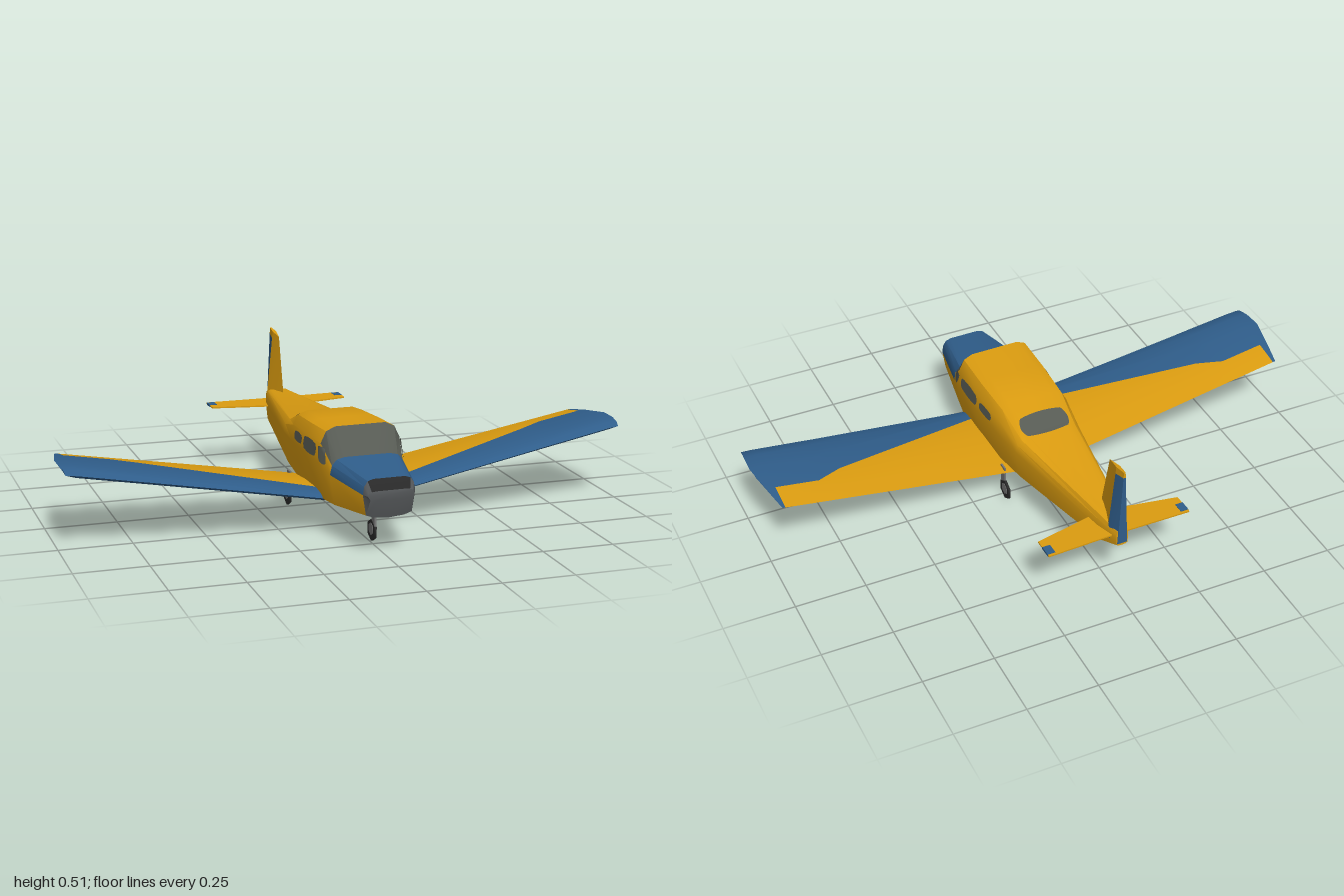
import * as THREE from 'three';
import { toCreasedNormals } from 'three/addons/utils/BufferGeometryUtils.js';

const mat = (name, color, side = THREE.FrontSide) => {
  const m = new THREE.MeshStandardMaterial({ color, side });
  m.name = name;
  return m;
};
const lerp = THREE.MathUtils.lerp;

// Skin a list of closed rings; pick(i, j) chooses the material of each panel
function loft(name, rings, pick, flip = false) {
  const buckets = new Map();
  const tri = (m, a, b, c) => {
    if (!buckets.has(m)) buckets.set(m, []);
    buckets.get(m).push(...a, ...(flip ? c : b), ...(flip ? b : c));
  };
  const n = rings[0].length, last = rings.length - 1;
  for (let i = 0; i < last; i++) for (let j = 0; j < n; j++) {
    const k = (j + 1) % n, m = pick(i, j);
    tri(m, rings[i][j], rings[i][k], rings[i + 1][k]);
    tri(m, rings[i][j], rings[i + 1][k], rings[i + 1][j]);
  }
  for (const e of [0, last]) {
    const r = rings[e], c = [0, 1, 2].map(q => r.reduce((s, p) => s + p[q], 0) / n);
    for (let j = 0; j < n; j++) {
      const a = r[j], b = r[(j + 1) % n], m = pick(e === 0 ? 0 : last - 1, -1);
      if (e === 0) tri(m, c, b, a); else tri(m, c, a, b);
    }
  }
  const geo = new THREE.BufferGeometry(), pos = [], mats = [];
  for (const [m, list] of buckets) {
    geo.addGroup(pos.length / 3, list.length / 3, mats.length);
    mats.push(m);
    for (const v of list) pos.push(v);
  }
  geo.setAttribute('position', new THREE.Float32BufferAttribute(pos, 3));
  const mesh = new THREE.Mesh(toCreasedNormals(geo, 0.55), mats);
  mesh.name = name;
  return mesh;
}

// Fuselage stations, tail to nose: z, bottom, widest height, top, half width
const stations = [
  [-0.635, 0.205, 0.235, 0.27, 0.022], [-0.55, 0.168, 0.24, 0.29, 0.048],
  [-0.09, 0.113, 0.245, 0.298, 0.125], [0.04, 0.104, 0.25, 0.352, 0.14],
  [0.2, 0.099, 0.25, 0.362, 0.147], [0.35, 0.098, 0.25, 0.37, 0.147],
  [0.42, 0.1, 0.225, 0.282, 0.131], [0.622, 0.125, 0.208, 0.259, 0.09],
  [0.64, 0.19, 0.207, 0.222, 0.08],
];
const halfRing = ([, b, m, t, w]) => [
  [0, b], [0.6 * w, b + 0.06 * (m - b)], [0.88 * w, b + 0.17 * (m - b)], [w, m],
  [0.95 * w, lerp(m, t, 0.55)], [0.82 * w, lerp(m, t, 0.88)], [0.6 * w, t], [0, t],
];
const halfRingAt = z => {
  let i = 0;
  while (i < stations.length - 2 && stations[i + 1][0] < z) i++;
  const a = stations[i], b = stations[i + 1], f = (z - a[0]) / (b[0] - a[0]);
  return halfRing(a.map((v, q) => lerp(v, b[q], f)));
};
// Skin position at a given z: side x for a height, or top y for an x
const sideX = (z, y) => {
  const h = halfRingAt(z);
  for (let i = 3; i < 6; i++) if (y <= h[i + 1][1])
    return lerp(h[i][0], h[i + 1][0], (y - h[i][1]) / (h[i + 1][1] - h[i][1]));
  return h[6][0];
};
const topY = (z, x) => {
  const h = halfRingAt(z), a = Math.abs(x);
  for (let i = 6; i > 3; i--) if (a <= h[i][0])
    return lerp(h[i + 1][1], h[i][1], (a - h[i + 1][0]) / (h[i][0] - h[i + 1][0]));
  return h[3][1];
};

export function createModel() {
  const gold = mat('gold paint', 0xdb9c10), blue = mat('blue paint', 0x2f5d8a);
  const glass = mat('window grey', 0x575b54, THREE.DoubleSide);
  const grey = mat('metal grey', 0x777777), cowl = mat('cowl grey', 0x55585a);
  const black = mat('rubber black', 0x2b2b2b);
  const plane = new THREE.Group();
  plane.name = 'airplane';
  const add = (name, geo, m, x = 0, y = 0, z = 0, parent = plane) => {
    const mesh = new THREE.Mesh(geo, m);
    mesh.name = name;
    mesh.position.set(x, y, z);
    parent.add(mesh);
    return mesh;
  };

  // Fuselage with blue upper cowling, windshield and grey nose
  const rings = stations.map(s => {
    const h = halfRing(s);
    const other = h.slice(1, 7).reverse().map(([x, y]) => [-x, y]);
    return [...h, ...other].map(([x, y]) => [x, y, s[0]]);
  });
  plane.add(loft('fuselage', rings, (i, j) => {
    const s = Math.min(j, 13 - j);
    if (i === 7) return s >= 5 ? black : cowl;
    if (i === 6 && s >= 3) return blue;
    if (i === 5 && s >= 4) return glass;
    return gold;
  }));

  // Side windows, rounded patches lying on the skin: z0, z1, y0, y1, slant
  const windows = [[0.345, 0.388, 0.252, 0.308, -0.012], [0.19, 0.322, 0.26, 0.31, 0], [0.08, 0.17, 0.266, 0.3, 0]];
  const patch = place => {
    const g = new THREE.PlaneGeometry(2, 2, 8, 8), p = g.attributes.position;
    for (let i = 0; i < p.count; i++) {
      const u = p.getX(i), v = p.getY(i);
      p.setXYZ(i, ...place(u * (1 - 0.14 * v * v), v * (1 - 0.2 * u * u)));
    }
    g.computeVertexNormals();
    return g;
  };
  for (const s of [1, -1]) for (const [z0, z1, y0, y1, slant] of windows) {
    add('sideWindow', patch((u, v) => {
      const z = lerp(z0, z1, (1 - s * u) / 2) + slant * v, y = lerp(y0, y1, (v + 1) / 2);
      return [s * (sideX(z, y) + 0.004), y, z];
    }), glass);
  }
  add('rearWindow', patch((u, v) => {
    const x = u * 0.09, z = -0.056 - v * 0.042;
    return [x, topY(z, x) + 0.004, z];
  }), glass).geometry.computeVertexNormals();

  // Wings: x, leading edge z, z of the paint line
  const spans = [[0.08, 0.347, 0.288], [0.14, 0.345, 0.272], [0.7, 0.314, 0.108],
    [0.79, 0.31, 0.066], [0.945, 0.302, 0.064], [1, 0.3, 0.064]];
  const trail = -0.03;
  const wing = s => {
    const sections = spans.map(([x, lead, line], i) => {
      const tip = i === spans.length - 1;
      const zs = [0, 0.08, 0.25, 0.55, 1].map(f => lerp(lead, line, f))
        .concat([0.33, 0.66, 1].map(f => lerp(line, trail, f)));
      const point = (z, top) => {
        const t = (lead - z) / (lead - trail);
        const px = !tip ? x : z < 0.19 ? lerp(0.955, 1, (z - trail) / (0.19 - trail)) : lerp(1, 0.985, (z - 0.19) / 0.11);
        const rise = 0.002 + 0.009 * (1 - t) + 0.065 * Math.sqrt(Math.max(t, 0)) * (1 - t);
        const h = top ? rise * (tip ? 0.8 : 1) : tip ? rise * 0.6 : 0;
        return [s * px, 0.115 + (px - 0.14) * 0.172 + h, z];
      };
      const under = [0.97, 0.5, 0.06].map(f => lerp(lead, trail, f));
      return [...zs.map(z => point(z, true)), ...under.map(z => point(z, false))];
    });
    return loft(s > 0 ? 'leftWing' : 'rightWing', sections,
      (i, j) => (i === 4 || (j >= 0 && j < 4) || j === 10 ? blue : gold), s > 0);
  };
  for (const s of [1, -1]) plane.add(wing(s));

  // Tail fin, tapering upward, with a blue rudder
  const half = y => lerp(0.035, 0.006, (y - 0.22) / 0.29);
  const hinge = -0.592, end = -0.637;
  const finRing = (y, lead, yh) => [[0, y, lead], [half(yh), yh, hinge], [-half(yh), yh, hinge]];
  plane.add(loft('tailFin', [finRing(0.22, -0.47, 0.22), finRing(0.493, -0.535, 0.503)], () => gold));
  const rudderRing = (yh, ye) => [[half(yh), yh, hinge], [half(ye) * 0.5, ye, end],
    [-half(ye) * 0.5, ye, end], [-half(yh), yh, hinge]];
  plane.add(loft('rudder', [rudderRing(0.225, 0.215), rudderRing(0.478, 0.488)], () => blue));
  plane.add(loft('finCap', [rudderRing(0.478, 0.488), rudderRing(0.503, 0.51)], () => gold));

  // Thin tailplane with coloured tips
  const outline = [[0, -0.49], [0.26, -0.54], [0.26, -0.62], [0, -0.615], [-0.26, -0.62], [-0.26, -0.54]];
  const tailShape = new THREE.Shape(outline.map(([x, z]) => new THREE.Vector2(x, -z)));
  const tailGeo = new THREE.ExtrudeGeometry(tailShape, { depth: 0.005, bevelEnabled: false });
  tailGeo.rotateX(-Math.PI / 2);
  add('tailplane', tailGeo, gold, 0, 0.238, 0);
  for (const s of [1, -1])
    add('tailplaneTip', new THREE.BoxGeometry(0.028, 0.008, 0.04), blue, s * 0.247, 0.2405, -0.592);

  // Landing gear: flat strut, six-sided wheel and hub
  const disc = (r, t) => new THREE.CylinderGeometry(r, r, t, 6, 1, false, Math.PI / 2).rotateZ(Math.PI / 2);
  for (const [name, x, z] of [['noseGear', 0, 0.468], ['leftGear', 0.135, -0.022], ['rightGear', -0.135, -0.022]]) {
    const gear = new THREE.Group();
    gear.name = name;
    gear.position.set(x, 0, z);
    add('strut', new THREE.BoxGeometry(0.006, 0.09, 0.03), grey, 0, 0.085, 0.017, gear);
    add('wheel', disc(0.038, 0.008), black, 0, 0.038, 0, gear);
    add('hub', disc(0.022, 0.011), grey, 0, 0.042, 0, gear);
    plane.add(gear);
  }

  // The airframe sits turned very slightly on its axis
  plane.rotation.y = 0.019;
  const model = new THREE.Group();
  model.name = 'model';
  model.add(plane);
  return model;
}
